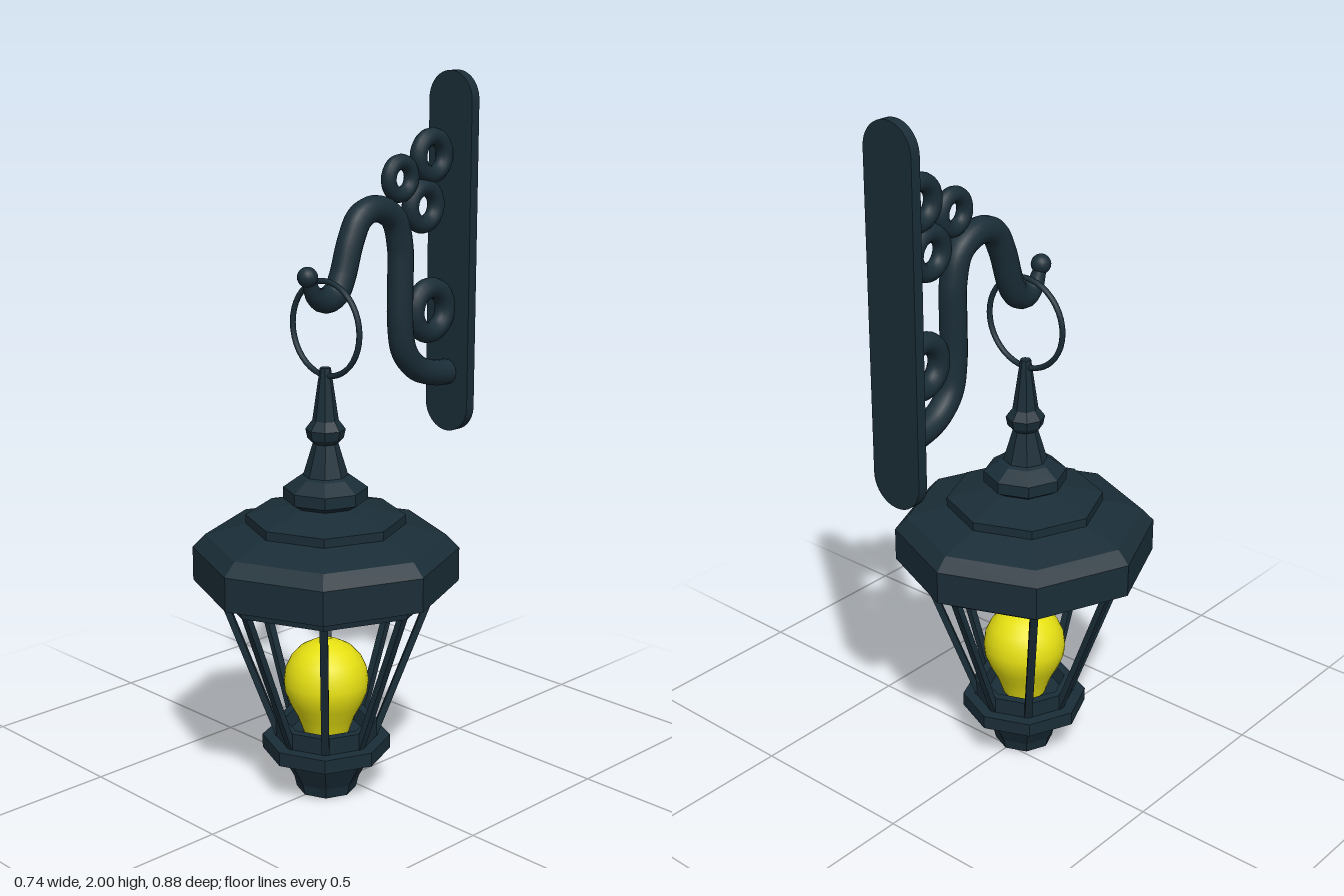
import * as THREE from 'three';

const iron = new THREE.MeshStandardMaterial({ color: 0x1a2d37, flatShading: true });
const ironSmooth = new THREE.MeshStandardMaterial({ color: 0x1a2d37 });
const glow = new THREE.MeshStandardMaterial({ color: 0xe6e012 });

const AXIS_Z = 0.07; // lantern axis
const ARM_X = 0.006; // bracket centre

function add(parent, name, geometry, material) {
  const mesh = new THREE.Mesh(geometry, material);
  mesh.name = name;
  parent.add(mesh);
  return mesh;
}

// Revolved profile of [radius, y] pairs, listed from bottom to top on the outside
function lathe(profile, sides) {
  return new THREE.LatheGeometry(profile.map(([r, y]) => new THREE.Vector2(r, y)), sides);
}

function createLantern() {
  const lantern = new THREE.Group();
  lantern.name = 'lantern';
  lantern.position.z = AXIS_Z;

  add(lantern, 'base', lathe([
    [0, 0], [0.085, 0], [0.092, 0.03], [0.14, 0.12], [0.182, 0.12],
    [0.182, 0.16], [0.147, 0.16], [0.147, 0.208], [0.12, 0.208], [0.11, 0.17], [0, 0.17],
  ], 8), iron);

  add(lantern, 'bulb', lathe([
    [0.06, 0.16], [0.07, 0.19], [0.083, 0.225], [0.103, 0.262], [0.117, 0.298], [0.12, 0.328],
    [0.115, 0.363], [0.1, 0.395], [0.075, 0.422], [0.04, 0.441], [0, 0.447],
  ], 32), glow);

  // Slanted glazing bars on the eight corners
  const up = new THREE.Vector3(0, 1, 0);
  for (let i = 0; i < 8; i++) {
    const a = (i * Math.PI) / 4;
    const spoke = new THREE.Group();
    spoke.name = 'cageBar';
    spoke.rotation.y = a;
    const low = new THREE.Vector3(0, 0.16, 0.135);
    const high = new THREE.Vector3(0, 0.61, 0.303);
    const dir = high.clone().sub(low);
    const bar = add(spoke, 'bar', new THREE.BoxGeometry(0.022, dir.length(), 0.018), iron);
    bar.position.copy(low).add(high).multiplyScalar(0.5);
    bar.quaternion.setFromUnitVectors(up, dir.normalize());
    lantern.add(spoke);
  }

  add(lantern, 'cageRing', lathe([
    [0.285, 0.63], [0.28, 0.59], [0.312, 0.59], [0.318, 0.63], [0.285, 0.63],
  ], 8), iron);

  // Hollow roof: ceiling, inner wall, rim, outer slopes
  add(lantern, 'roof', lathe([
    [0, 0.775], [0.2, 0.765], [0.315, 0.735], [0.34, 0.71], [0.34, 0.625], [0.37, 0.625],
    [0.37, 0.72], [0.335, 0.757], [0.222, 0.79], [0.222, 0.815], [0.08, 0.848], [0, 0.848],
  ], 8), iron);

  add(lantern, 'finial', lathe([
    [0.08, 0.84], [0.117, 0.862], [0.117, 0.895], [0.075, 0.925], [0.062, 0.93],
    [0.035, 1.02], [0.05, 1.035], [0.055, 1.06], [0.036, 1.085], [0.015, 1.23], [0, 1.23],
  ], 8), iron);
  return lantern;
}

function createBracket() {
  const bracket = new THREE.Group();
  bracket.name = 'bracket';
  bracket.position.x = ARM_X;

  // Wall plate with round ends
  const r = 0.08;
  const outline = new THREE.Shape();
  outline.absarc(0, 2 - r, r, 0, Math.PI, false);
  outline.absarc(0, 0.97 + r, r, Math.PI, Math.PI * 2, false);
  outline.closePath();
  const plate = add(bracket, 'wallPlate', new THREE.ExtrudeGeometry(outline, {
    depth: 0.03, bevelEnabled: false, curveSegments: 12,
  }), ironSmooth);
  plate.position.z = -0.44;

  // Curved arm, path given as [z, y], tapering toward the hook tip
  const path = new THREE.CatmullRomCurve3([
    [-0.42, 1.145], [-0.36, 1.15], [-0.285, 1.175], [-0.232, 1.23], [-0.215, 1.31], [-0.214, 1.43],
    [-0.212, 1.53], [-0.185, 1.61], [-0.115, 1.643], [-0.055, 1.625], [-0.02, 1.565],
    [0.012, 1.47], [0.035, 1.43], [0.072, 1.415], [0.112, 1.43], [0.138, 1.475],
  ].map(([z, y]) => new THREE.Vector3(0, y, z)));
  const rings = 72;
  const sides = 14;
  const arm = new THREE.TubeGeometry(path, rings, 0.037, sides);
  const pos = arm.attributes.position;
  const v = new THREE.Vector3();
  for (let i = 0; i <= rings; i++) {
    const centre = path.getPointAt(i / rings);
    const scale = 1 - 0.5 * THREE.MathUtils.smoothstep(i / rings, 0.9, 1);
    for (let j = 0; j <= sides; j++) {
      const k = i * (sides + 1) + j;
      v.fromBufferAttribute(pos, k).sub(centre).multiplyScalar(scale).add(centre);
      pos.setXYZ(k, v.x, v.y, v.z);
    }
  }
  add(bracket, 'arm', arm, ironSmooth);

  add(bracket, 'hookTip', new THREE.SphereGeometry(0.028, 16, 12), ironSmooth)
    .position.set(0, 1.485, 0.14);

  // Ornamental scroll rings: [z, y, ring radius, tube radius]
  for (const [z, y, ring, tube] of [
    [-0.335, 1.77, 0.053, 0.025],
    [-0.21, 1.717, 0.045, 0.022],
    [-0.303, 1.633, 0.052, 0.025],
    [-0.335, 1.335, 0.064, 0.03],
  ]) {
    const scroll = add(bracket, 'scrollRing', new THREE.TorusGeometry(ring, tube, 12, 28), ironSmooth);
    scroll.rotation.y = Math.PI / 2;
    scroll.position.set(0, y, z);
  }
  return bracket;
}

export function createModel() {
  const model = new THREE.Group();
  model.name = 'wallLantern';
  model.add(createLantern(), createBracket());
  // Ring linking hook and finial
  add(model, 'hangingRing', new THREE.TorusGeometry(0.129, 0.008, 8, 40), ironSmooth)
    .position.set(0.001, 1.337, AXIS_Z);
  return model;
}
